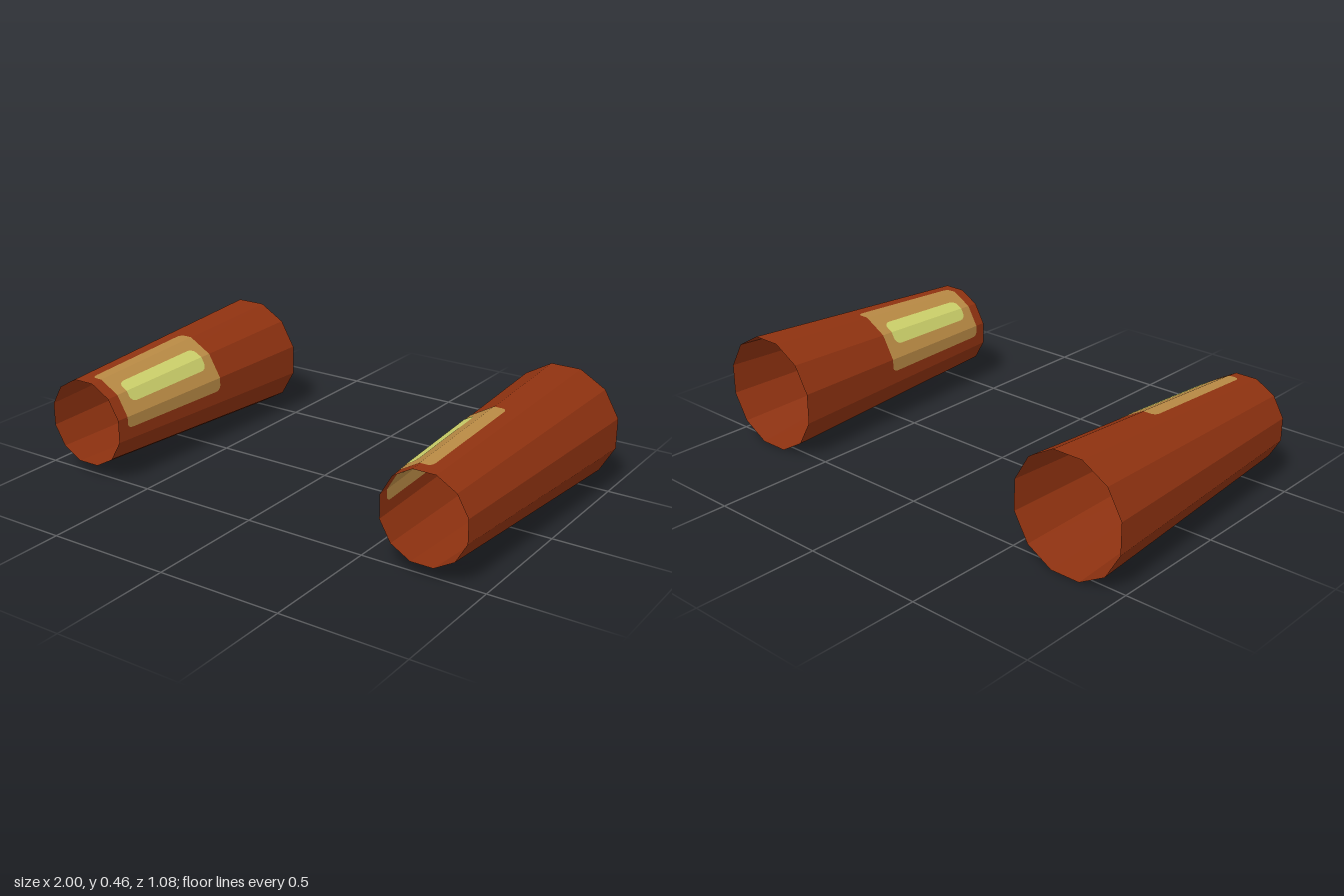
import * as THREE from 'three';

const SIDES = 12, HALF = 0.54, CX = 0.77, CY = 0.232;
const STEP = (Math.PI * 2) / SIDES;
const DEG = Math.PI / 180;

// distance from axis to a flat at depth z (narrow front, wide back)
const apothem = (z) => 0.2015 - (z / HALF) * 0.029;

// point on the faceted sleeve; angle runs from the top toward the inner side
function surfacePoint(side, angle, z, offset) {
  const local = angle - Math.round(angle / STEP) * STEP;
  const r = (apothem(z) + offset) / Math.cos(local);
  return [-side * Math.sin(angle) * r, Math.cos(angle) * r, z];
}

// strip of quads following the sleeve; columns are { angle, z0, z1 }
function stripGeometry(side, columns, offset = 0) {
  const pos = [];
  for (let i = 0; i < columns.length - 1; i++) {
    const p = columns[i], q = columns[i + 1];
    const a = surfacePoint(side, p.angle, p.z0, offset);
    const b = surfacePoint(side, p.angle, p.z1, offset);
    const c = surfacePoint(side, q.angle, q.z1, offset);
    const d = surfacePoint(side, q.angle, q.z0, offset);
    const quad = side > 0 ? [a, c, b, a, d, c] : [a, b, c, a, c, d];
    pos.push(...quad.flat());
  }
  const geo = new THREE.BufferGeometry();
  geo.setAttribute('position', new THREE.Float32BufferAttribute(pos, 3));
  geo.computeVertexNormals();
  return geo;
}

// rounded rectangle wrapped over the facets (angles in degrees)
function patchColumns(a0, a1, z0, z1, cornerA, cornerZ) {
  const angles = [15, 45, 75].filter((a) => a > a0 + cornerA && a < a1 - cornerA);
  for (let i = 0; i <= 5; i++) {
    const t = cornerA * (1 - Math.cos((i / 5) * Math.PI / 2));
    angles.push(a0 + t, a1 - t);
  }
  return angles.sort((a, b) => a - b).map((a) => {
    const k = Math.max(0, 1 - Math.min(a - a0, a1 - a) / cornerA);
    const inset = cornerZ * (1 - Math.sqrt(Math.max(0, 1 - k * k)));
    return { angle: a * DEG, z0: z0 + inset, z1: z1 - inset };
  });
}

export function createModel() {
  const make = (name, color) => {
    const m = new THREE.MeshStandardMaterial({ color, side: THREE.DoubleSide });
    m.name = name;
    return m;
  };
  const rust = make('rust', 0x8f3210);
  const tan = make('tan', 0xb88944);
  const lime = make('lime', 0xccd06a);

  const sleeveColumns = [];
  for (let i = 0; i <= SIDES; i++) {
    sleeveColumns.push({ angle: (i + 0.5) * STEP, z0: -HALF, z1: HALF });
  }
  const panelColumns = patchColumns(0, 90, -0.05, 0.49, 6, 0.025);
  const glowColumns = patchColumns(30, 60, 0, 0.44, 8, 0.03);

  const model = new THREE.Group();
  model.name = 'pairOfSleeves';
  for (const side of [1, -1]) {
    const group = new THREE.Group();
    group.name = side > 0 ? 'leftSleeve' : 'rightSleeve';
    group.position.set(side * CX, CY, 0);
    const add = (name, geo, mat) => {
      const mesh = new THREE.Mesh(geo, mat);
      mesh.name = name;
      group.add(mesh);
    };
    // open tapered tube
    add('sleeve', stripGeometry(side, sleeveColumns), rust);
    // panel and its bright centre, showing on both faces of the wall
    for (const [face, dir] of [['outer', 1], ['inner', -1]]) {
      add(face + 'Panel', stripGeometry(side, panelColumns, dir * 0.0015), tan);
      add(face + 'PanelCentre', stripGeometry(side, glowColumns, dir * 0.003), lime);
    }
    model.add(group);
  }
  return model;
}
